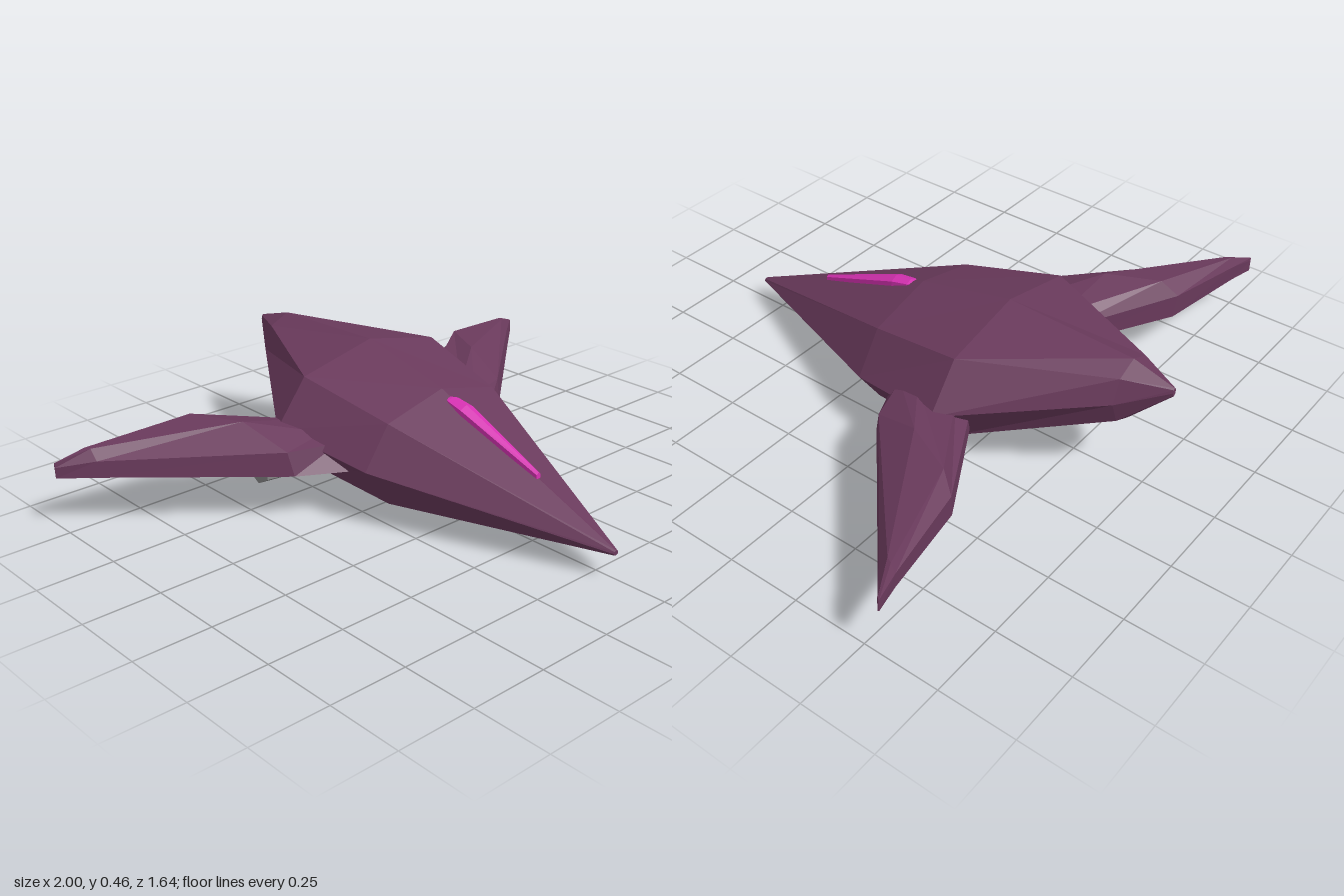
import * as THREE from 'three';

const material = (name, color) => {
  const m = new THREE.MeshStandardMaterial({ color, flatShading: true });
  m.name = name;
  return m;
};

// Faceted skin over matching rings of [x, y, z] points, closed at both ends.
function loft(name, rings, mat) {
  const pos = [];
  const tri = (...pts) => pts.forEach((p) => pos.push(...p));
  const n = rings[0].length;
  for (let i = 0; i < rings.length - 1; i++) {
    for (let j = 0; j < n; j++) {
      const k = (j + 1) % n;
      const a = rings[i][j], b = rings[i][k], c = rings[i + 1][k], d = rings[i + 1][j];
      tri(a, c, b);
      tri(a, d, c);
    }
  }
  const first = rings[0], last = rings[rings.length - 1];
  for (let j = 1; j < n - 1; j++) {
    tri(first[0], first[j], first[j + 1]);
    tri(last[0], last[j + 1], last[j]);
  }
  const geo = new THREE.BufferGeometry();
  geo.setAttribute('position', new THREE.Float32BufferAttribute(pos, 3));
  geo.computeVertexNormals();
  const mesh = new THREE.Mesh(geo, mat);
  mesh.name = name;
  return mesh;
}

// Ring of n points; place(cos, sin) returns each point.
const ring = (n, offset, place) => Array.from({ length: n }, (_, i) => {
  const t = offset + (i / n) * Math.PI * 2;
  return place(Math.cos(t), Math.sin(t));
});

// Elliptical ring facing along z.
const zRing = (n, offset, [z, y, rx, ry]) => ring(n, offset, (c, s) => [rx * c, y + ry * s, z]);

// Mirror rings across x, reversed so that faces still point outward.
const mirror = (rings) => rings.map((r) => r.map(([x, y, z]) => [-x, y, z]).reverse());

export function createModel() {
  const group = new THREE.Group();
  const hullPurple = material('hull purple', 0x6a3a5c);
  const magenta = material('canopy magenta', 0xd832b4);
  const grey = material('pod grey', 0x858585);

  // Hull stations from nose to tail: z, centre y, half width, half height
  const hull = [
    [0.82, 0.083, 0.01, 0.008],
    [0.1, 0.19, 0.32, 0.19],
    [-0.24, 0.249, 0.39, 0.208],
    [-0.68, 0.33, 0.1, 0.11],
    [-0.82, 0.385, 0.008, 0.015],
  ];
  group.add(loft('hull', hull.map((s) => zRing(8, 0, s)), hullPurple));

  // Slim canopy strip lying on the nose
  const canopy = [
    [0.515, 0.22, 0.01, 0.012],
    [0.21, 0.335, 0.031, 0.022],
    [0.15, 0.35, 0.026, 0.016],
    [0.13, 0.357, 0.015, 0.006],
  ];
  group.add(loft('canopy', canopy.map((s) => zRing(6, Math.PI / 6, s)), magenta));

  // Wing sections from root to tip: front edge, ridge, back edge
  const wing = [
    [[0.3, 0.155, 0], [0.3, 0.235, -0.05], [0.3, 0.25, -0.12],
      [0.28, 0.25, -0.25], [0.26, 0.22, -0.29], [0.26, 0.155, -0.29]],
    [[0.45, 0.158, -0.08], [0.46, 0.235, -0.1], [0.5, 0.297, -0.27],
      [0.58, 0.295, -0.44], [0.61, 0.24, -0.49], [0.6, 0.16, -0.485]],
    [[0.9, 0.165, -0.468], [0.9, 0.217, -0.475], [0.9, 0.25, -0.505],
      [0.91, 0.25, -0.525], [0.91, 0.22, -0.54], [0.91, 0.165, -0.537]],
    [[1, 0.165, -0.553], [1, 0.2, -0.553], [1, 0.215, -0.555],
      [1, 0.215, -0.556], [0.998, 0.205, -0.557], [0.998, 0.165, -0.557]],
  ];
  group.add(loft('leftWing', wing, hullPurple));
  group.add(loft('rightWing', mirror(wing), hullPurple));

  // Hexagonal pods slung under the wings
  const pod = [[0.24, 0.162, -0.165], [0.475, 0.145, -0.235]].map(([x, y, z]) =>
    ring(6, Math.PI / 6, (c, s) => [x, y + 0.055 * s, z + 0.055 * c]));
  group.add(loft('leftPod', pod, grey));
  group.add(loft('rightPod', mirror(pod), grey));

  return group;
}
